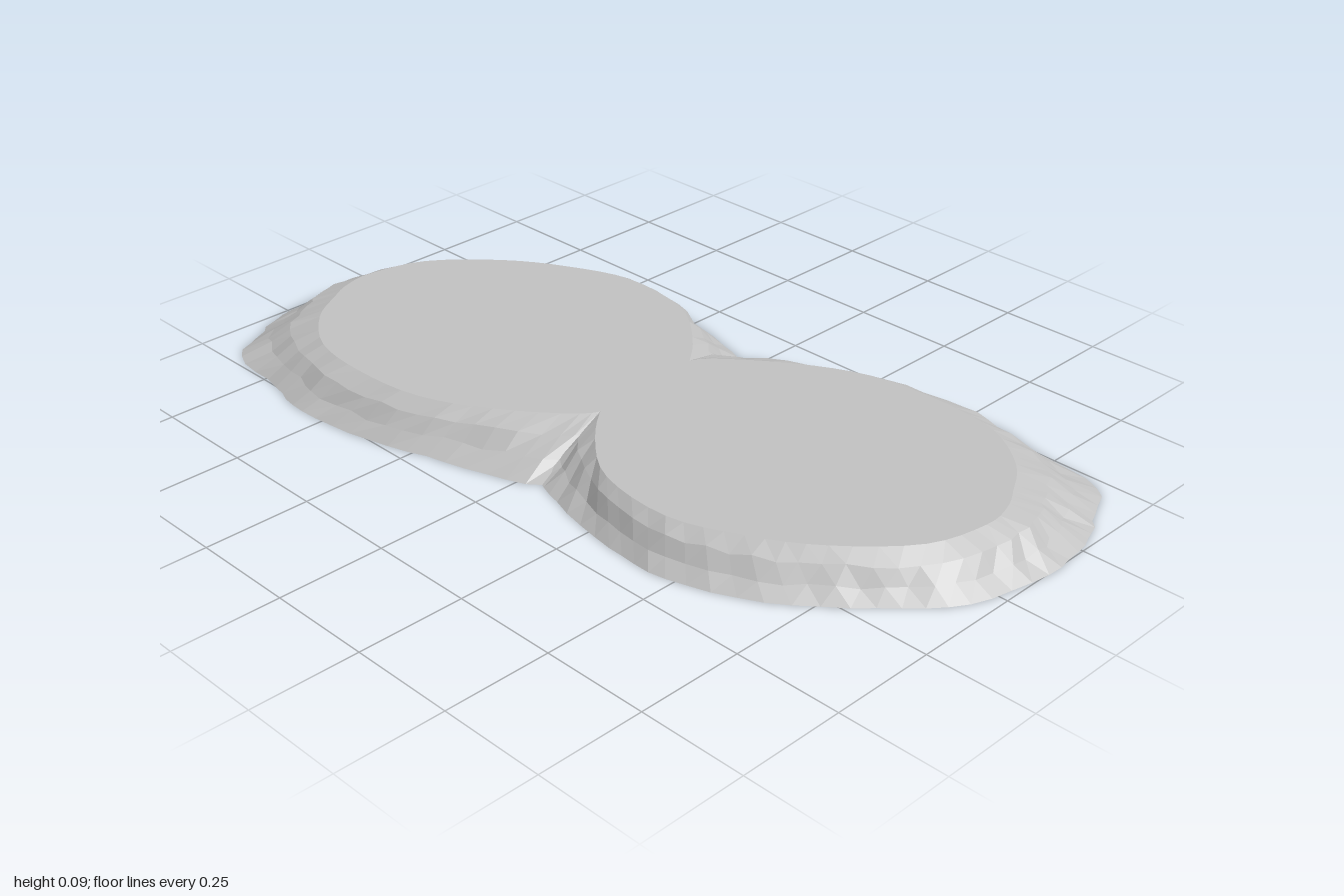
import * as THREE from 'three';

// Paired outline points of one lobe: [rim x, rim z, top x, top z]
const OUTLINE = [
  [-0.13, -1, -0.08, -0.88], [0.06, -0.96, 0.06, -0.84], [0.2, -0.84, 0.2, -0.71],
  [0.34, -0.67, 0.29, -0.57], [0.42, -0.48, 0.35, -0.41], [0.42, -0.32, 0.33, -0.22],
  [0.38, -0.12, 0.24, -0.09], [0.33, 0, 0.13, 0], [0.18, 0.14, 0.03, 0.03],
  [-0.05, 0.19, -0.04, 0.035], [-0.25, 0.13, -0.12, 0.02], [-0.38, 0.02, -0.19, -0.01],
  [-0.44, -0.17, -0.31, -0.16], [-0.5, -0.36, -0.39, -0.32], [-0.53, -0.57, -0.41, -0.5],
  [-0.5, -0.7, -0.39, -0.66], [-0.47, -0.88, -0.31, -0.78], [-0.36, -0.95, -0.22, -0.84],
  [-0.27, -0.99, -0.16, -0.87],
];
const HEIGHT = 0.085;
const SEGMENTS = 76;
// Skirt profile: [share of the way from rim to top, height, roughness]
const PROFILE = [[0, 0, 0.007], [0.35, 0.028, 0.01], [0.62, 0.062, 0.008], [1, HEIGHT, 0]];

function seeded(seed) {
  return () => {
    seed = (seed * 16807) % 2147483647;
    return seed / 2147483647 - 0.5;
  };
}

function closedCurve(ix, iz) {
  const points = OUTLINE.map((p) => new THREE.Vector3(p[ix], 0, p[iz]));
  return new THREE.CatmullRomCurve3(points, true, 'catmullrom', 0.5);
}

function facetedGeometry(triangles) {
  const geometry = new THREE.BufferGeometry().setFromPoints(triangles);
  geometry.computeVertexNormals(); // unshared corners keep the facets flat
  return geometry;
}

function createLobe(material) {
  const random = seeded(41);
  const rim = closedCurve(0, 1);
  const top = closedCurve(2, 3);

  // Rings of the sloping, rough edge
  const rings = PROFILE.map(([t, y, rough]) =>
    Array.from({ length: SEGMENTS }, (_, i) => {
      const p = rim.getPoint(i / SEGMENTS).lerp(top.getPoint(i / SEGMENTS), t + random() * rough * 8);
      p.y = y + (y > 0 ? random() * rough : 0);
      return p;
    }));

  const skirt = [];
  const cap = [];
  const centre = new THREE.Vector3(-0.03, HEIGHT, -0.42);
  for (let i = 0; i < SEGMENTS; i++) {
    const j = (i + 1) % SEGMENTS;
    for (let r = 0; r < rings.length - 1; r++) {
      const low = rings[r], high = rings[r + 1];
      skirt.push(low[i], high[i], low[j], low[j], high[i], high[j]);
    }
    const edge = rings[rings.length - 1];
    cap.push(centre, edge[j], edge[i]);
  }

  const lobe = new THREE.Group();
  const skirtMesh = new THREE.Mesh(facetedGeometry(skirt), material);
  skirtMesh.name = 'roughEdge';
  const capMesh = new THREE.Mesh(facetedGeometry(cap), material);
  capMesh.name = 'flatTop';
  lobe.add(skirtMesh, capMesh);
  return lobe;
}

export function createModel() {
  const stone = new THREE.MeshStandardMaterial({ color: 0xc0c0c0, side: THREE.DoubleSide });
  stone.name = 'stone grey';

  const model = new THREE.Group();
  model.name = 'steppingStones';

  // Two open-bottomed lobes, the front one turned half round
  const back = createLobe(stone);
  back.name = 'backLobe';
  const front = createLobe(stone);
  front.name = 'frontLobe';
  front.rotation.y = Math.PI;
  model.add(back, front);
  return model;
}
